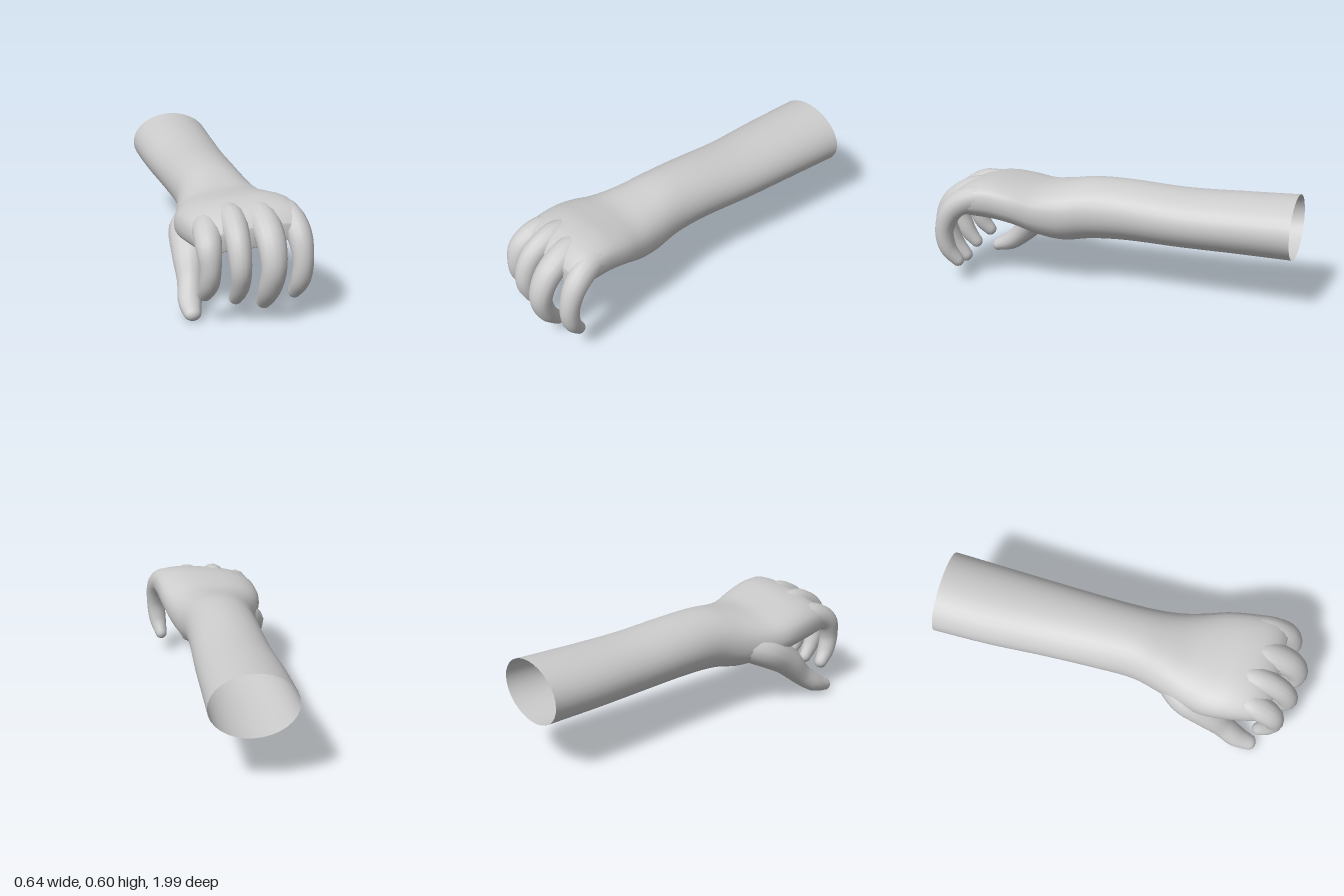
import * as THREE from 'three';

const V = (x, y, z) => new THREE.Vector3(x, y, z);

// Skin a list of closed rings; the last ring can be closed with a centre point.
function loft(name, rings, closeEnd) {
  const n = rings[0].length, pos = [], idx = [];
  rings.forEach(r => r.forEach(p => pos.push(p.x, p.y, p.z)));
  for (let j = 0; j < rings.length - 1; j++) {
    for (let i = 0; i < n; i++) {
      const k = (i + 1) % n, a = j * n, b = a + n;
      idx.push(a + i, a + k, b + k, a + i, b + k, b + i);
    }
  }
  if (closeEnd) {
    const last = rings.length - 1, tip = pos.length / 3, c = V(0, 0, 0);
    rings[last].forEach(p => c.addScaledVector(p, 1 / n));
    pos.push(c.x, c.y, c.z);
    for (let i = 0; i < n; i++) idx.push(last * n + i, last * n + (i + 1) % n, tip);
  }
  const geo = new THREE.BufferGeometry();
  geo.setAttribute('position', new THREE.Float32BufferAttribute(pos, 3));
  geo.setIndex(idx);
  geo.computeVertexNormals();
  const mesh = new THREE.Mesh(geo, new THREE.MeshStandardMaterial({
    color: 0xcccccc, roughness: 0.8, side: THREE.DoubleSide }));
  mesh.name = name;
  return mesh;
}

// Smooth interpolation through rows of numbers, t from 0 to 1.
function sample(rows, t) {
  const f = t * (rows.length - 1), i = Math.min(Math.floor(f), rows.length - 2), u = f - i;
  const at = k => rows[Math.max(0, Math.min(rows.length - 1, k))];
  return rows[0].map((_, c) => {
    const p0 = at(i - 1)[c], p1 = at(i)[c], p2 = at(i + 1)[c], p3 = at(i + 2)[c];
    return p1 + 0.5 * u * (p2 - p0 + u * (2 * p0 - 5 * p1 + 4 * p2 - p3 + u * (3 * (p1 - p2) + p3 - p0)));
  });
}

// Forearm, wrist and palm: z, left x, right x, top y, bottom y, squareness, sideways slope
function armAndPalm() {
  const rows = [
    [-1.00, -0.225, 0.225, 0.610, 0.278, 1.00, 0],
    [-0.70, -0.222, 0.215, 0.597, 0.280, 1.00, 0],
    [-0.40, -0.206, 0.204, 0.590, 0.280, 1.00, 0],
    [-0.10, -0.200, 0.190, 0.604, 0.283, 1.00, 0],
    [0.10, -0.200, 0.190, 0.602, 0.272, 0.97, 0],
    [0.25, -0.228, 0.212, 0.578, 0.250, 0.92, 0.02],
    [0.38, -0.265, 0.242, 0.562, 0.275, 0.86, 0.05],
    [0.50, -0.295, 0.270, 0.575, 0.320, 0.82, 0.08],
    [0.62, -0.290, 0.284, 0.588, 0.345, 0.78, 0.10],
    [0.73, -0.270, 0.296, 0.574, 0.358, 0.76, 0.10],
    [0.80, -0.250, 0.295, 0.535, 0.372, 0.76, 0.10],
    [0.84, -0.225, 0.270, 0.485, 0.390, 0.80, 0.10]];
  const rings = [], sides = 32, steps = 44;
  const bend = (v, e) => Math.sign(v) * Math.pow(Math.abs(v), e);
  for (let j = 0; j <= steps; j++) {
    const [z, xl, xr, top, bot, e, slope] = sample(rows, j / steps);
    const ring = [];
    for (let i = 0; i < sides; i++) {
      const a = i / sides * Math.PI * 2;
      const x = (xl + xr) / 2 + (xr - xl) / 2 * bend(Math.cos(a), e);
      const y = (top + bot) / 2 + (top - bot) / 2 * bend(Math.sin(a), e);
      ring.push(V(x, y + slope * (x - 0.05), z));
    }
    rings.push(ring);
  }
  return loft('forearmAndPalm', rings, true);
}

// Finger or thumb along a path of x, y, z, half width, half thickness, with a round tip
function digit(name, rows) {
  const rings = [], sides = 14, steps = 24;
  const addRing = (c, tan, w, h) => {
    const side = V(1, 0, 0).addScaledVector(tan, -tan.x).normalize();
    const up = tan.clone().cross(side), ring = [];
    for (let i = 0; i < sides; i++) {
      const a = i / sides * Math.PI * 2;
      ring.push(c.clone().addScaledVector(side, w * Math.cos(a)).addScaledVector(up, h * Math.sin(a)));
    }
    rings.push(ring);
  };
  const point = t => V(...sample(rows, t).slice(0, 3));
  for (let j = 0; j <= steps; j++) {
    const t = j / steps, row = sample(rows, t);
    const tan = point(Math.min(1, t + 0.01)).sub(point(Math.max(0, t - 0.01))).normalize();
    addRing(point(t), tan, row[3], row[4]);
    if (j === steps) {
      for (const a of [0.4, 0.8, 1.2]) {
        const c = point(1).addScaledVector(tan, row[4] * Math.sin(a));
        addRing(c, tan, row[3] * Math.cos(a), row[4] * Math.cos(a));
      }
    }
  }
  return loft(name, rings, true);
}

export function createModel() {
  const hand = new THREE.Group();
  hand.name = 'handAndForearm';
  hand.add(armAndPalm());

  hand.add(digit('indexFinger', [
    [-0.150, 0.450, 0.58, 0.06, 0.06],
    [-0.185, 0.465, 0.73, 0.072, 0.068],
    [-0.200, 0.410, 0.845, 0.066, 0.062],
    [-0.198, 0.310, 0.880, 0.053, 0.052],
    [-0.202, 0.220, 0.860, 0.049, 0.046],
    [-0.212, 0.160, 0.815, 0.036, 0.036]]));

  hand.add(digit('middleFinger', [
    [-0.055, 0.480, 0.58, 0.06, 0.06],
    [-0.060, 0.505, 0.73, 0.070, 0.072],
    [-0.062, 0.440, 0.865, 0.062, 0.064],
    [-0.060, 0.320, 0.922, 0.054, 0.055],
    [-0.056, 0.210, 0.890, 0.046, 0.048],
    [-0.062, 0.135, 0.835, 0.034, 0.034]]));

  hand.add(digit('ringFinger', [
    [0.070, 0.480, 0.58, 0.06, 0.06],
    [0.085, 0.508, 0.73, 0.076, 0.072],
    [0.098, 0.440, 0.875, 0.074, 0.066],
    [0.100, 0.315, 0.938, 0.064, 0.058],
    [0.088, 0.190, 0.905, 0.056, 0.050],
    [0.080, 0.105, 0.838, 0.038, 0.036]]));

  hand.add(digit('littleFinger', [
    [0.200, 0.480, 0.56, 0.06, 0.06],
    [0.230, 0.500, 0.71, 0.066, 0.070],
    [0.256, 0.435, 0.825, 0.063, 0.062],
    [0.264, 0.320, 0.876, 0.053, 0.052],
    [0.256, 0.210, 0.865, 0.049, 0.046],
    [0.242, 0.135, 0.815, 0.034, 0.034]]));

  hand.add(digit('thumb', [
    [-0.090, 0.400, 0.26, 0.10, 0.09],
    [-0.175, 0.345, 0.40, 0.125, 0.10],
    [-0.220, 0.255, 0.525, 0.094, 0.082],
    [-0.242, 0.155, 0.620, 0.066, 0.062],
    [-0.262, 0.085, 0.705, 0.060, 0.052],
    [-0.267, 0.050, 0.785, 0.044, 0.036]]));

  return hand;
}
